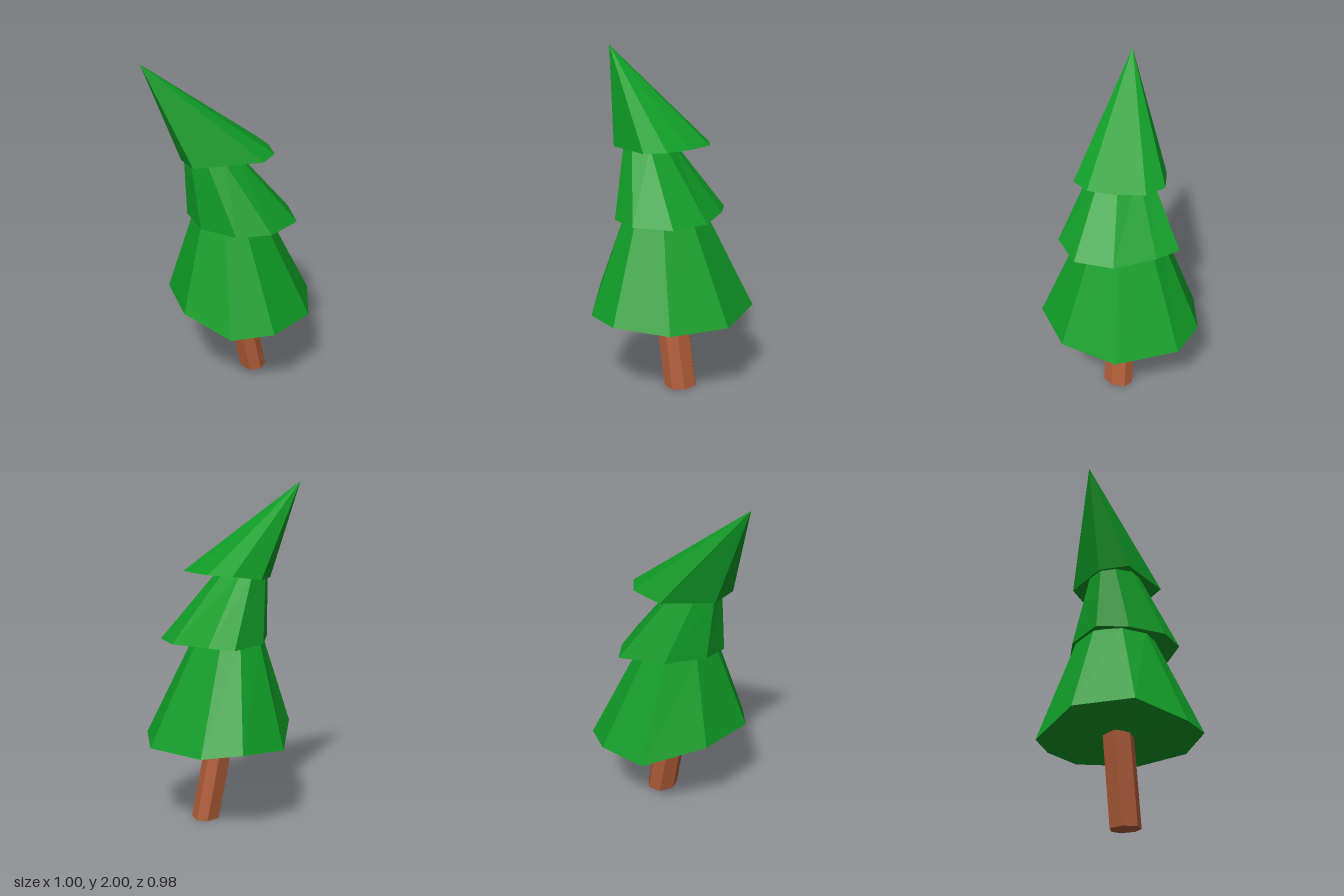
import * as THREE from 'three';

// Closed loft from a base ring to a second ring (or apex) given by a rule.
// Rings run from +x towards +z.
function loft(name, base, rule, material) {
  const lower = base.map((p) => new THREE.Vector3(...p));
  const upper = lower.map((p) => new THREE.Vector3(...rule(p)));
  const middle = (ring) =>
    ring.reduce((s, p) => s.add(p), new THREE.Vector3()).divideScalar(ring.length);
  const lowMid = middle(lower), topMid = middle(upper);
  const tris = [];
  const pointed = upper[0].distanceTo(upper[1]) < 1e-6;
  lower.forEach((a, i) => {
    const j = (i + 1) % lower.length;
    const b = lower[j], c = upper[i], d = upper[j];
    tris.push(b, a, c, lowMid, a, b);
    if (!pointed) tris.push(b, c, d, topMid, d, c);
  });
  const geometry = new THREE.BufferGeometry().setFromPoints(tris);
  geometry.computeVertexNormals();
  const mesh = new THREE.Mesh(geometry, material);
  mesh.name = name;
  return mesh;
}

export function createModel() {
  const foliage = new THREE.MeshStandardMaterial({ color: 0x109c27, flatShading: true });
  foliage.name = 'foliage green';
  const bark = new THREE.MeshStandardMaterial({ color: 0xb05c38, flatShading: true });
  bark.name = 'bark brown';

  const tree = new THREE.Group();
  tree.name = 'bentPineTree';

  // Leaning seven-sided trunk
  const trunk = [
    [0.22, 0, 0.02], [0.18, 0, 0.08], [0.11, 0, 0.09], [0.06, 0, 0.02],
    [0.08, 0, -0.07], [0.16, 0, -0.1], [0.215, 0, -0.065],
  ];
  tree.add(loft('trunk', trunk, (p) => [p.x - 0.12, 0.6, p.z + 0.01], bark));

  // Wide lower skirt of branches
  const low = [
    [-0.2, 0.485, -0.4], [0.08, 0.505, -0.49], [0.3, 0.485, -0.42],
    [0.5, 0.48, -0.09], [0.43, 0.485, 0.26], [0.18, 0.5, 0.48],
    [-0.07, 0.488, 0.485], [-0.315, 0.57, 0.29], [-0.375, 0.57, -0.065],
  ];
  tree.add(loft('lowerBranches', low,
    (p) => [p.x * 0.48 - 0.04, 1.08, p.z * 0.48 + 0.012], foliage));

  // Middle skirt, bending sideways
  const mid = [
    [-0.15, 1.07, -0.2], [0.08, 1.065, -0.355], [0.2, 1.07, -0.25],
    [0.35, 1.07, -0.04], [0.355, 1.07, 0.19], [0.18, 1.07, 0.345],
    [-0.02, 1.065, 0.345], [-0.2, 1.065, 0.2], [-0.26, 1.085, 0.02],
  ];
  tree.add(loft('middleBranches', mid, (p) => {
    const x = p.x * 0.48 - 0.15;
    return [x, 1.465 + 0.09 * x, p.z * 0.45 + 0.046];
  }, foliage));

  // Pointed crown, leaning to one side
  const top = [
    [-0.13, 1.44, -0.215], [0.06, 1.465, -0.255], [0.175, 1.472, -0.175],
    [0.22, 1.475, -0.01], [0.225, 1.475, 0.145], [0.145, 1.468, 0.25],
    [-0.24, 1.44, 0.22], [-0.29, 1.43, 0.05],
  ];
  tree.add(loft('crown', top, () => [-0.5, 2, 0.095], foliage));

  return tree;
}
